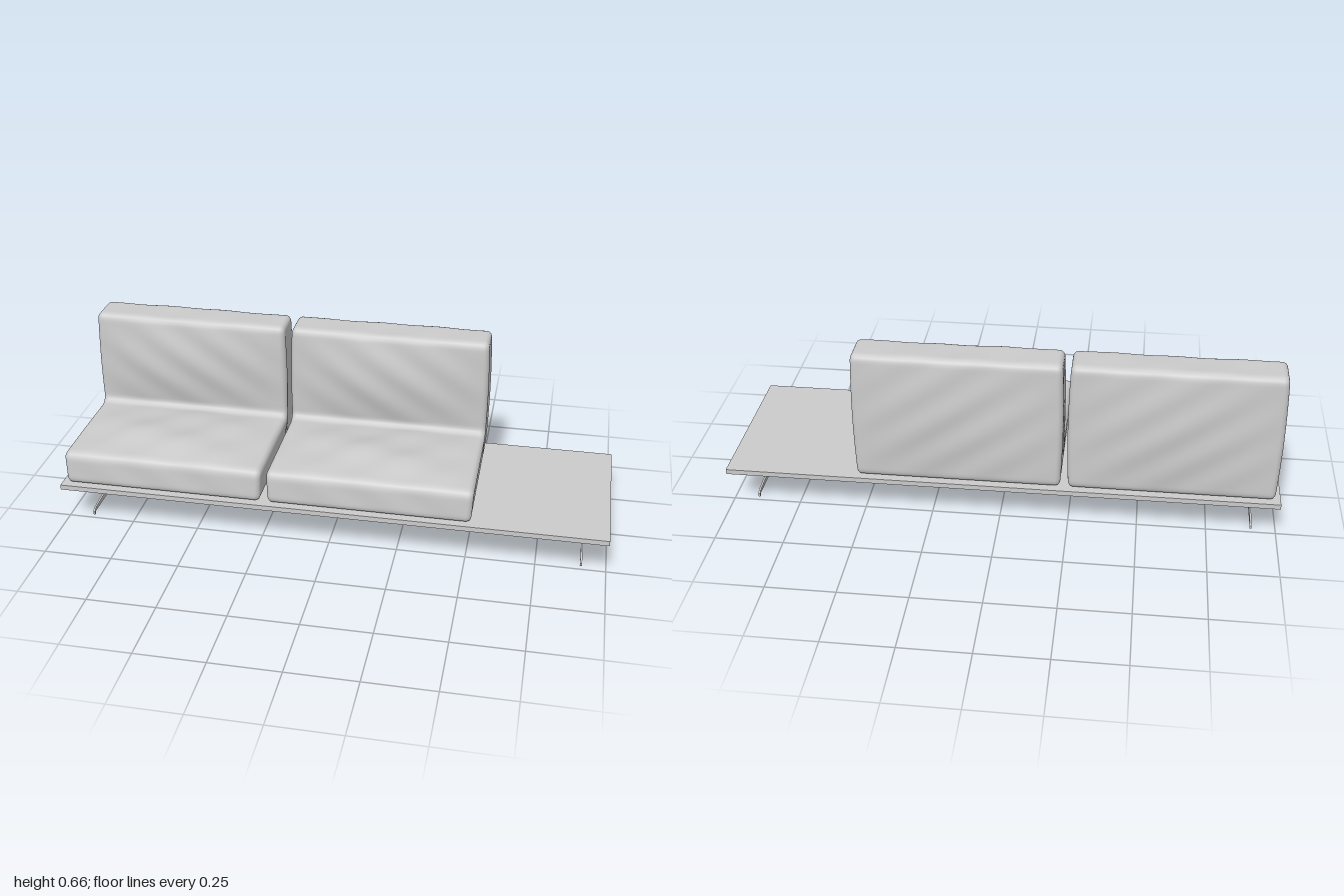
import * as THREE from 'three';

const material = new THREE.MeshStandardMaterial({ color: 0xcccccc });

// Smooth hump: 0 at a and b, 1 midway
const hump = (v, a, b) => (v <= a || v >= b ? 0 : Math.sin((Math.PI * (v - a)) / (b - a)));

// L-shaped side profile in (z, y): corner z, corner y, rounding
const CORNERS = [
  [0.29, 0.166, 0.026], [0.284, 0.29, 0.03], [-0.149, 0.29, 0.028],
  [-0.149, 0.66, 0.026], [-0.288, 0.66, 0.026], [-0.292, 0.166, 0.03],
];

function cushionProfile() {
  const path = new THREE.Path();
  const pts = CORNERS.map(([z, y]) => new THREE.Vector2(z, y));
  const n = pts.length;
  CORNERS.forEach(([, , r], i) => {
    const c = pts[i];
    const toward = (p) => c.clone().add(p.clone().sub(c).setLength(r));
    const a = toward(pts[(i + n - 1) % n]);
    const b = toward(pts[(i + 1) % n]);
    if (i === 0) path.moveTo(a.x, a.y);
    else path.lineTo(a.x, a.y);
    path.quadraticCurveTo(c.x, c.y, b.x, b.y);
  });
  path.closePath();
  return path.getSpacedPoints(200).slice(0, -1);
}

// Padded cushion: the profile lofted across x, rounded in at both ends, puffed in the middle
function cushion(name, centre, width, seed) {
  const profile = cushionProfile();
  const n = profile.length;
  const normals = profile.map((p, j) => {
    const t = profile[(j + 1) % n].clone().sub(profile[(j + n - 1) % n]).normalize();
    return new THREE.Vector2(t.y, -t.x);
  });

  // Stations across the width: [x, inset]
  const r = 0.02, half = width / 2 - 0.007, round = 6, spans = 40;
  const stations = [];
  for (let i = 0; i <= round; i++) {
    const a = (i / round) * Math.PI / 2;
    stations.push([-half + r * (1 - Math.sin(a)), r * (1 - Math.cos(a))]);
  }
  stations.reverse();
  stations.forEach((s, i) => { s[0] = -half + r * (1 - Math.cos((i / round) * Math.PI / 2)); s[1] = r * (1 - Math.sin((i / round) * Math.PI / 2)); });
  const ends = stations.map(([x, inset]) => [-x, inset]).reverse();
  for (let i = 1; i < spans; i++) stations.push([(half - r) * (2 * i / spans - 1), 0]);
  stations.push(...ends);

  const position = [], index = [];
  for (const [x, inset] of stations) {
    const across = Math.pow(Math.max(0, Math.cos((x / half) * Math.PI / 2)), 0.7);
    profile.forEach((p, j) => {
      const m = normals[j];
      let puff = 0;
      if (m.y > 0.5 && p.y < 0.4) puff = 0.021 * hump(p.x, -0.13, 0.29);
      else if (m.x > 0.5 && p.y > 0.3) puff = 0.02 * hump(p.y, 0.31, 0.66);
      else if (m.x < -0.5) puff = 0.013 * hump(p.y, 0.17, 0.66);
      // Gentle unevenness of the fabric
      const wave = Math.sin(x * 19 + seed + p.y * 23) * Math.sin(p.x * 25 + p.y * 17 - seed * 2 + x * 9);
      const soft = m.y < -0.5 ? 0 : 0.0025 * wave * across;
      const d = puff * across * (1 + 0.2 * wave) + soft - inset;
      const side = 1 + 0.018 * hump(p.y, 0.16, 0.67);
      position.push(x * side, p.y + m.y * d, p.x + m.x * d);
    });
  }
  for (let i = 0; i < stations.length - 1; i++) {
    for (let j = 0; j < n; j++) {
      const k = (j + 1) % n;
      const a = i * n + j, b = (i + 1) * n + j, c = (i + 1) * n + k, e = i * n + k;
      index.push(a, b, e, b, c, e);
    }
  }
  // Flat end panels
  const last = (stations.length - 1) * n;
  for (const [a, b, c] of THREE.ShapeUtils.triangulateShape(profile, [])) {
    index.push(a, b, c, last + a, last + c, last + b);
  }

  const geometry = new THREE.BufferGeometry();
  geometry.setAttribute('position', new THREE.Float32BufferAttribute(position, 3));
  geometry.setIndex(index);
  geometry.computeVertexNormals();
  const mesh = new THREE.Mesh(geometry, material);
  mesh.name = name;
  mesh.position.x = centre;
  return mesh;
}

// Flat sheet leg: a post on a spread foot with turned-down tips
function leg(name, x) {
  const side = [[0.22, 0], [0.23, 0], [0.23, 0.012], [0.216, 0.023], [0.023, 0.036], [0.023, 0.148]];
  const outline = [[0.219, 0.01], ...side];
  const mirrored = outline.map(([z, y]) => [-z, y]).reverse();
  const shape = new THREE.Shape([...outline, ...mirrored].map(([z, y]) => new THREE.Vector2(z, y)));
  const depth = 0.007;
  const geometry = new THREE.ExtrudeGeometry(shape, { depth, bevelEnabled: false });
  geometry.translate(0, 0, -depth / 2).rotateY(Math.PI / 2);
  const mesh = new THREE.Mesh(geometry, material);
  mesh.name = name;
  mesh.position.x = x;
  return mesh;
}

export function createModel() {
  const model = new THREE.Group();
  model.name = 'platformSofa';

  // Long platform, left bare at one end as a side table
  const platform = new THREE.Mesh(new THREE.BoxGeometry(2, 0.019, 0.614), material);
  platform.name = 'platform';
  platform.position.y = 0.1565;
  model.add(platform);

  model.add(leg('leftLeg', 0.912), leg('rightLeg', -0.912));
  model.add(cushion('rightCushion', -0.614, 0.745, 0.6), cushion('leftCushion', 0.148, 0.75, 2.3));
  return model;
}
